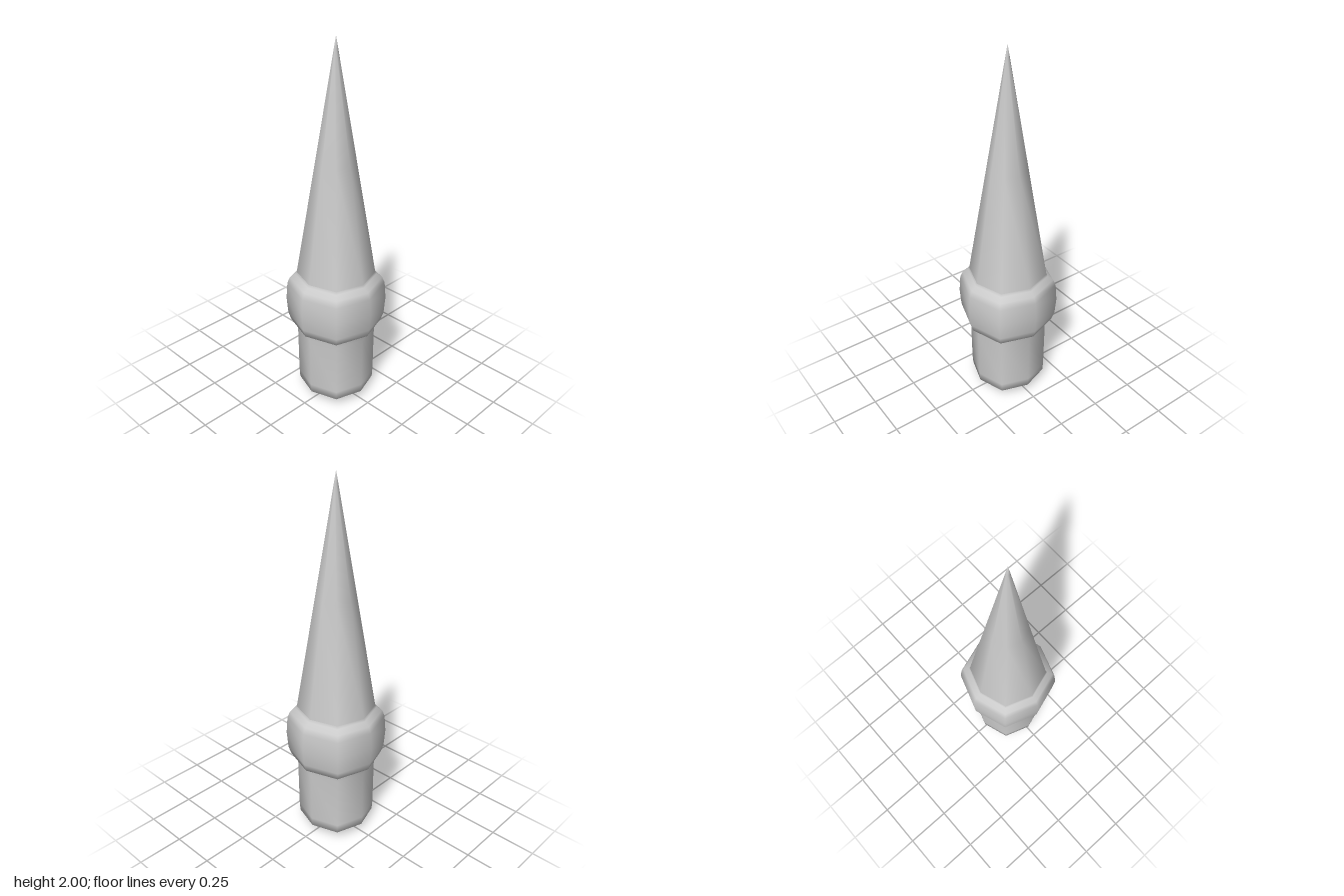
import * as THREE from 'three';
import { mergeVertices } from 'three/addons/utils/BufferGeometryUtils.js';

const SIDES = 8;
const DIAGONAL = 1.06; // the corners on the diagonals stand slightly further out

// Smooth-shaded eight-sided turning from [radius, y] pairs, listed bottom to top
function turned(name, profile, material) {
  const points = profile.map(([r, y]) => new THREE.Vector2(r, y));
  let geometry = new THREE.LatheGeometry(points, SIDES);
  const pos = geometry.attributes.position;
  for (let i = 0; i < pos.count; i++) {
    const x = pos.getX(i), z = pos.getZ(i);
    if (Math.min(Math.abs(x), Math.abs(z)) > 1e-4) {
      pos.setX(i, x * DIAGONAL);
      pos.setZ(i, z * DIAGONAL);
    }
  }
  // Weld the seam and poles so the shading runs unbroken around the axis
  geometry.deleteAttribute('uv');
  geometry.deleteAttribute('normal');
  geometry = mergeVertices(geometry, 1e-4);
  geometry.computeVertexNormals();
  const mesh = new THREE.Mesh(geometry, material);
  mesh.name = name;
  return mesh;
}

export function createModel() {
  const group = new THREE.Group();
  group.name = 'spike';
  const material = new THREE.MeshStandardMaterial({ color: 0xcccccc });

  // Straight plug with a shallow domed underside
  group.add(turned('shaft', [
    [0, 0], [0.14, 0.015], [0.195, 0.05], [0.198, 0.1], [0.2, 0.4], [0.205, 0.44],
  ], material));

  // Rounded collar
  group.add(turned('collar', [
    [0.2, 0.42], [0.205, 0.435], [0.234, 0.445], [0.248, 0.49], [0.255, 0.585],
    [0.248, 0.68], [0.234, 0.715], [0.205, 0.735], [0.2, 0.75],
  ], material));

  // Long pointed tip
  group.add(turned('tip', [
    [0.203, 0.72], [0.2, 0.74], [0.1, 1.37], [0.01, 1.937], [0, 2],
  ], material));

  return group;
}
